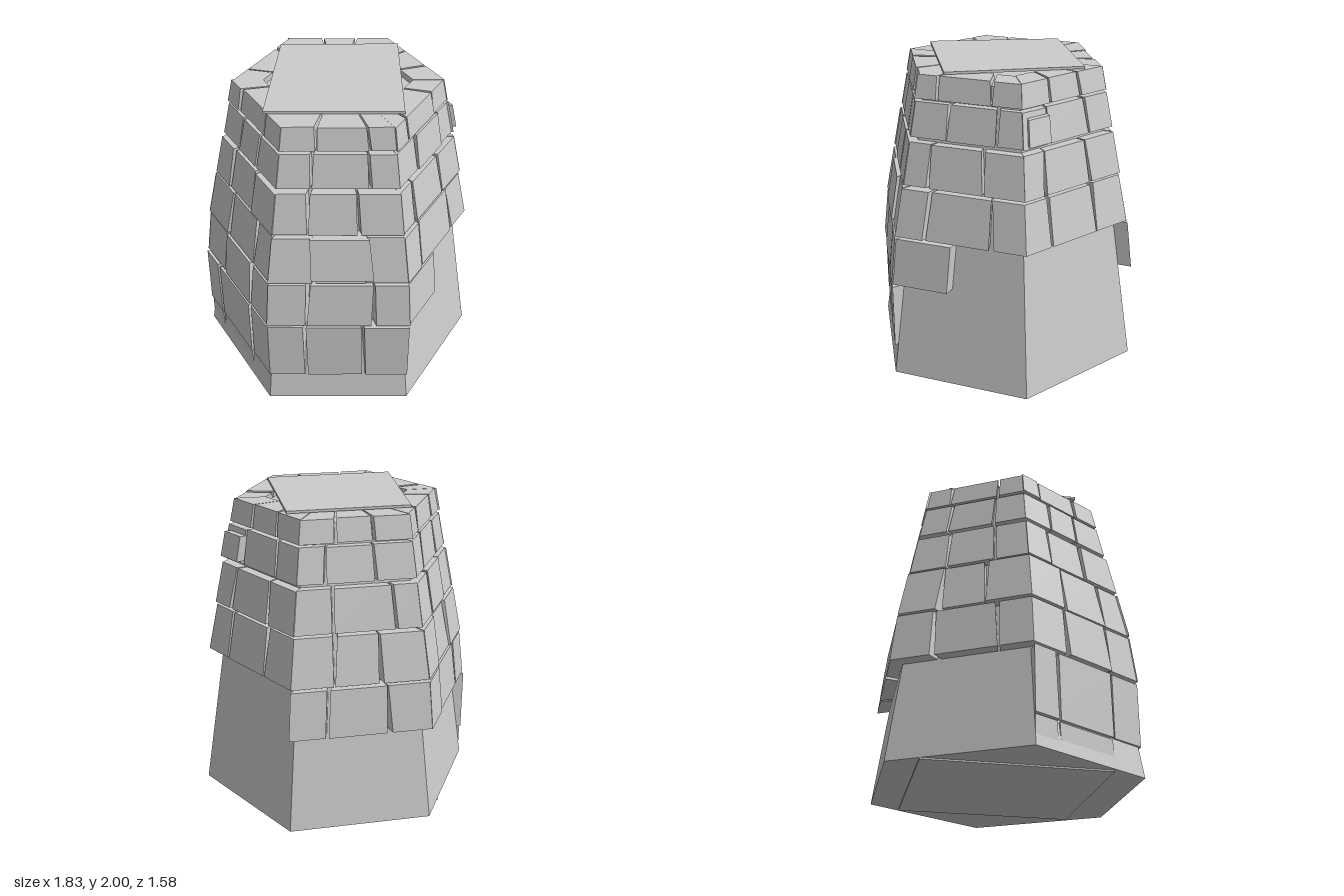
import * as THREE from 'three';

const material = new THREE.MeshStandardMaterial({ color: 0xcccccc, flatShading: true });

// Small seeded generator, returns -1..1
let seed = 7;
const rnd = () => {
  seed = (seed * 16807) % 2147483647;
  return (seed / 2147483647) * 2 - 1;
};

// Corner radius of the stonework: upright at the foot, then tapering
const wallRadius = (y) => Math.min(0.905, 1.07 - 0.212 * y);

// Point on a hexagon of corner radius r: side index, position u along that side, height y
function hexPoint(side, u, y, r) {
  const a = (side * Math.PI) / 3, b = a + Math.PI / 3;
  return new THREE.Vector3(
    r * THREE.MathUtils.lerp(Math.cos(a), Math.cos(b), u), y,
    r * THREE.MathUtils.lerp(Math.sin(a), Math.sin(b), u));
}

function addMesh(parent, name, geometry) {
  const mesh = new THREE.Mesh(geometry, material);
  mesh.name = name;
  parent.add(mesh);
}

// Wedge-shaped stone from u0 to u1 along a side; push = projection, lean = slant of its joints
function stone(side, u0, u1, y0, y1, push, lean) {
  const g = new THREE.BoxGeometry(1, 1, 1);
  const p = g.attributes.position;
  for (let i = 0; i < p.count; i++) {
    const top = p.getY(i) > 0;
    const y = top ? y1 : y0;
    let u = p.getX(i) > 0 ? u0 : u1;
    if (u > 0 && u < 1) u += top ? lean : -lean;
    const r = p.getZ(i) > 0 ? wallRadius(y) + push : wallRadius(y1) - 0.19;
    const v = hexPoint(side, u, y, r);
    p.setXYZ(i, v.x, v.y, v.z);
  }
  g.computeVertexNormals();
  return g;
}

// One course of stones; from and to count hexagon sides around the tower from +x
function addCourse(parent, name, y0, y1, from, to) {
  const group = new THREE.Group();
  group.name = name;
  for (let side = Math.floor(from); side < to; side++) {
    const start = Math.max(0, from - side);
    const joints = [start, 0.28 + 0.08 * rnd(), 0.73 + 0.07 * rnd(), 1].filter((u, i) => i === 0 || u > start + 0.2);
    for (let i = 0; i + 1 < joints.length; i++) {
      // small gap at each joint, none at the mitred corners
      const u0 = joints[i] === 0 ? 0 : joints[i] + 0.012;
      const u1 = joints[i + 1] === 1 ? 1 : joints[i + 1] - 0.012;
      const top = y1 - 0.006 * Math.abs(rnd());
      addMesh(group, 'stone', stone(side, u0, u1, y0, top, 0.008 * rnd(), 0.012 * rnd()));
    }
  }
  parent.add(group);
}

// Thin rectangular slab, its front -x corner drawn out by skew
function slab(x0, x1, z0, z1, y, height, skew) {
  const g = new THREE.BoxGeometry(x1 - x0, height, z1 - z0);
  g.translate((x0 + x1) / 2, y + height / 2, (z0 + z1) / 2);
  const p = g.attributes.position;
  for (let i = 0; i < p.count; i++) {
    if (p.getX(i) < 0 && p.getZ(i) > 0) p.setX(i, x0 - skew);
  }
  return g;
}

export function createModel() {
  seed = 7;
  const tower = new THREE.Group();
  tower.name = 'stoneTower';

  // Tapered hexagonal core, corners on the x axis
  const core = new THREE.CylinderGeometry(0.615, 0.913, 1.93, 6);
  core.rotateY(Math.PI / 6).translate(0, 0.975, 0);
  addMesh(tower, 'core', core);

  // Broken lower courses, leaving the core bare on the +x sides
  addCourse(tower, 'footCourse', 0.01, 0.2, 2.27, 3);
  addCourse(tower, 'lowerCourse', 0.21, 0.63, 1, 3);
  addCourse(tower, 'middleCourse', 0.65, 0.96, 0.57, 5);

  // Complete upper courses
  addCourse(tower, 'ringCourse', 0.975, 1.285, 0, 6);
  addCourse(tower, 'ringCourse', 1.3, 1.57, 0, 6);
  addCourse(tower, 'ringCourse', 1.6, 1.82, 0, 6);
  addCourse(tower, 'topCourse', 1.835, 1.982, 0, 6);

  // Stones standing proud: one on the front, one on the back +x side
  addMesh(tower, 'looseStone', stone(1, 0.26, 0.7, 1.0, 1.28, 0.025, 0.01));
  addMesh(tower, 'looseStone', stone(5, 0.73, 0.95, 1.62, 1.78, 0.05, 0));

  // Slabs above and below
  addMesh(tower, 'capSlab', slab(-0.37, 0.39, -0.44, 0.42, 1.984, 0.016, 0.07));
  addMesh(tower, 'baseSlab', slab(-0.57, 0.53, -0.6, 0.56, 0, 0.012, 0));
  return tower;
}
